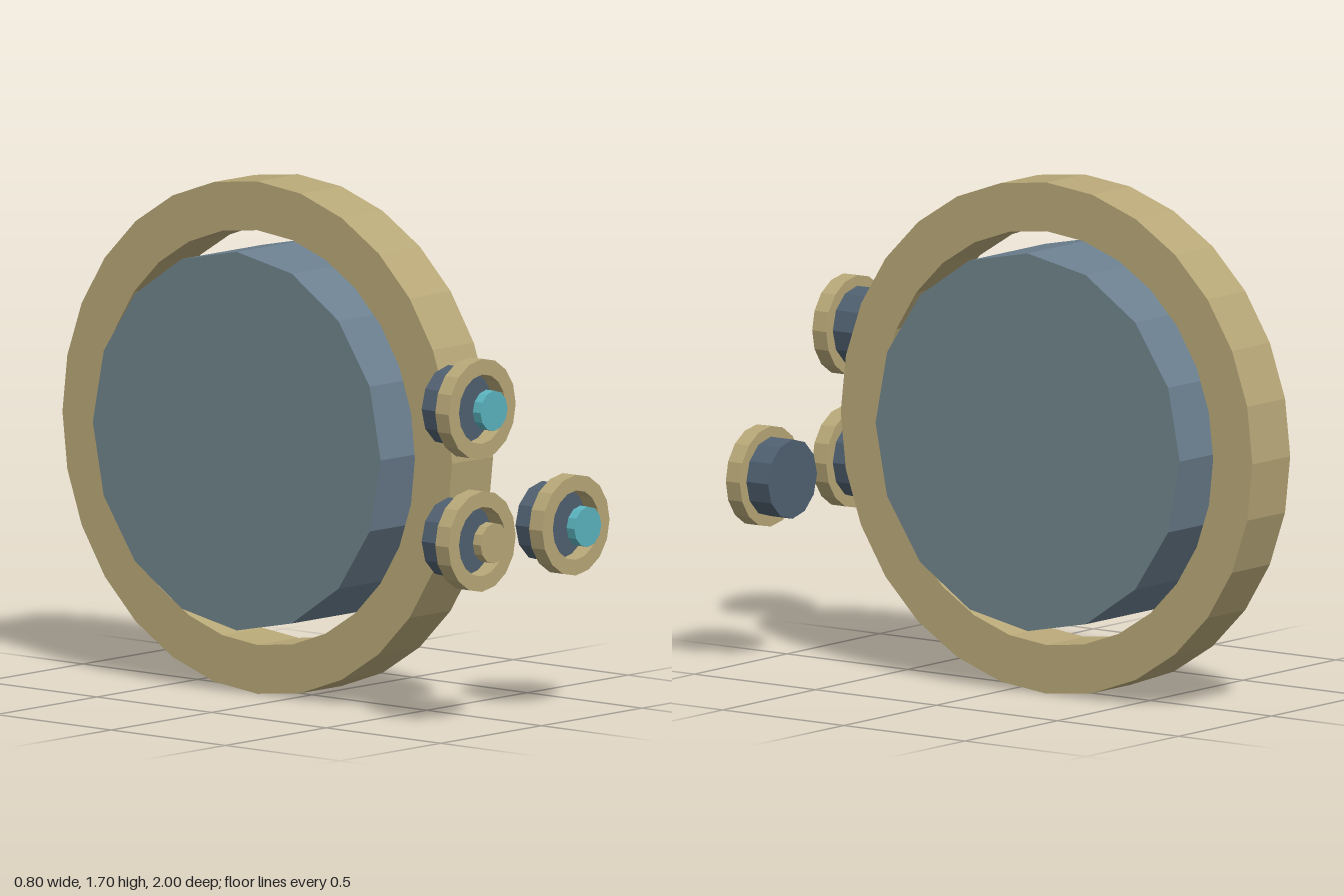
import * as THREE from 'three';

const material = (name, color) => {
  const m = new THREE.MeshStandardMaterial({ color, flatShading: true });
  m.name = name;
  return m;
};

export function createModel() {
  const gold = material('gold', 0xb8a878);
  const slate = material('slate', 0x6c8090);
  const slateFace = material('slate face', 0x70848b);
  const darkSlate = material('dark slate', 0x506070);
  const cyan = material('cyan', 0x5ab4be);

  const model = new THREE.Group();
  model.name = 'ringAndButtons';

  const add = (parent, name, geometry, mat, z = 0) => {
    const mesh = new THREE.Mesh(geometry, mat);
    mesh.name = name;
    mesh.position.z = z;
    parent.add(mesh);
  };

  // Drum along z, centred on its own origin
  const drum = (radius, depth, sides) =>
    new THREE.CylinderGeometry(radius, radius, depth, sides).rotateX(Math.PI / 2);

  // Square-edged hoop around z, centred on its own origin
  const hoop = (outer, inner, depth, sides) => {
    const h = depth / 2;
    const profile = [[inner, -h], [outer, -h], [outer, h], [inner, h], [inner, -h]];
    return new THREE.LatheGeometry(profile.map(([r, y]) => new THREE.Vector2(r, y)), sides)
      .rotateX(Math.PI / 2);
  };

  // Large upright wheel, its axis along x
  const wheel = new THREE.Group();
  wheel.name = 'wheel';
  wheel.position.set(0, 0.85, -0.15);
  wheel.rotation.y = Math.PI / 2;
  add(wheel, 'outerRing', hoop(0.85, 0.688, 0.204, 28), gold);
  add(wheel, 'innerDisc', drum(0.628, 0.408, 16), [slate, slateFace, slateFace]);
  model.add(wheel);

  // Three small knobs in front, each with a base, a collar and a floating cap
  const knobs = [
    ['upperRightKnob', -0.235, 1.072, cyan],
    ['lowerRightKnob', -0.235, 0.633, gold],
    ['lowerLeftKnob', 0.231, 0.633, cyan],
  ];
  for (const [name, x, y, capColor] of knobs) {
    const knob = new THREE.Group();
    knob.name = name;
    knob.position.set(x, y, 0);
    add(knob, 'base', drum(0.132, 0.09, 12), darkSlate, 0.845);
    add(knob, 'collar', hoop(0.167, 0.115, 0.058, 16), gold, 0.919);
    add(knob, 'cap', drum(0.067, 0.034, 12), capColor, 0.983);
    model.add(knob);
  }
  return model;
}
